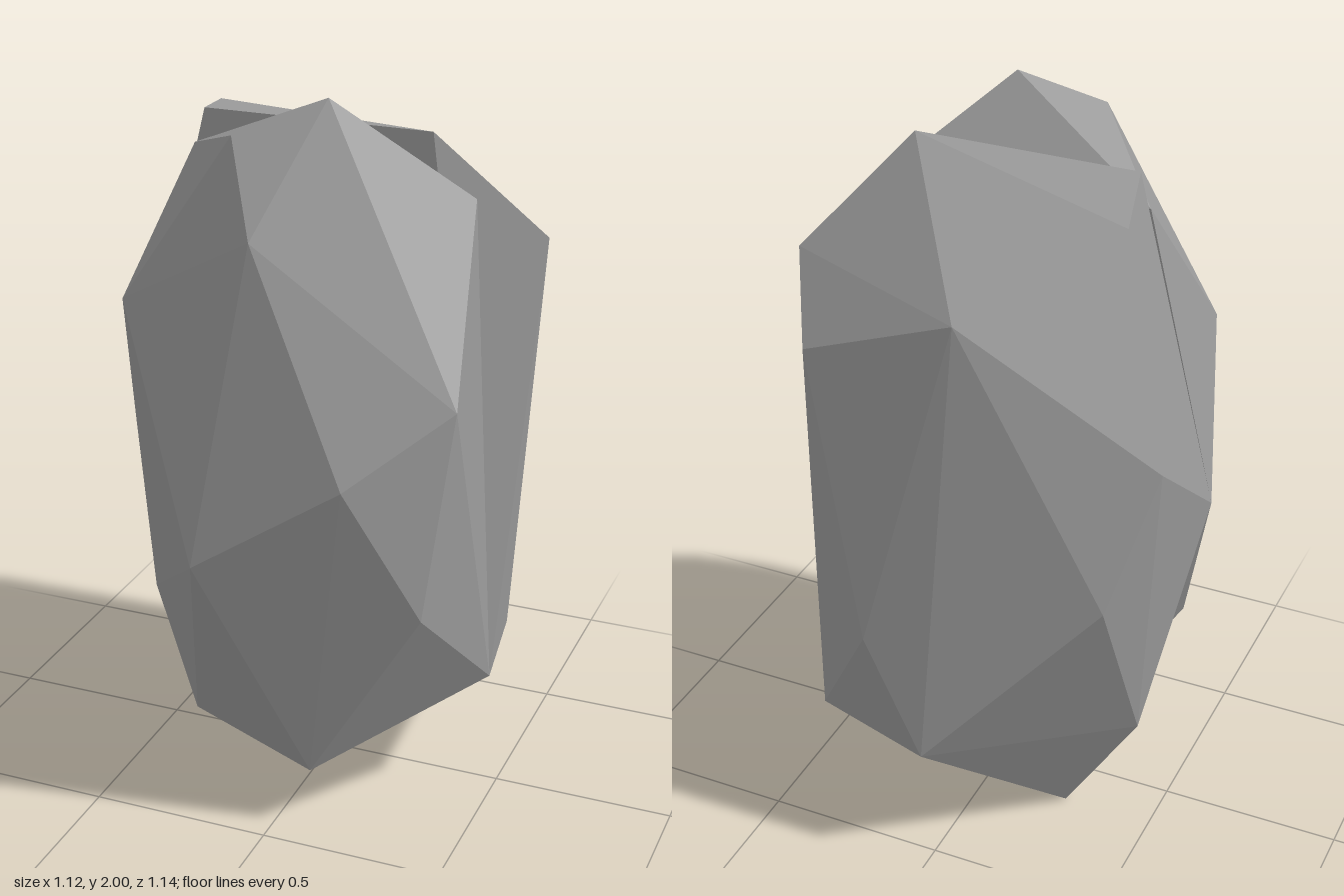
import * as THREE from 'three';
import { ConvexGeometry } from 'three/addons/geometries/ConvexGeometry.js';

// Corners shared by both halves along the split plane
const SPLIT_Z = 0.074;
const seam = [
  [0.492, 0.373, SPLIT_Z], [-0.203, 0.132, SPLIT_Z], [-0.558, 0.965, SPLIT_Z],
];

// Front chunk: ridge at the top, bulging face, chipped underside
const frontCorners = [
  [-0.355, 1.785, SPLIT_Z], [0.418, 1.72, SPLIT_Z],
  [0.107, 2.0, 0.29], [-0.108, 1.91, 0.387], [-0.02, 1.68, 0.493],
  [-0.472, 1.41, 0.29], [0.473, 1.26, 0.357], [0.237, 1.08, 0.537],
  [-0.163, 0.815, 0.57], [0.418, 0.71, 0.44],
  [-0.46, 0.52, 0.18], [-0.28, 0.235, 0.31], [0.105, 0.185, 0.422],
];

// Rear chunk: broad sloping top, lowest point of the rock
const rearCorners = [
  [-0.325, 1.88, SPLIT_Z], [0.3, 1.88, SPLIT_Z],
  [-0.387, 1.84, -0.163], [-0.085, 1.68, -0.515], [0.557, 1.58, -0.108],
  [0.405, 1.44, -0.378], [-0.55, 1.265, -0.302], [-0.45, 0.89, -0.42],
  [0.16, 0.73, -0.57], [0, 0.39, -0.57], [0.405, 0.3, -0.367],
  [-0.46, 0.345, -0.16], [-0.247, 0, -0.15],
];

function chunk(name, corners, material) {
  const points = [...seam, ...corners].map((c) => new THREE.Vector3(...c));
  const mesh = new THREE.Mesh(new ConvexGeometry(points), material);
  mesh.name = name;
  return mesh;
}

export function createModel() {
  const stone = new THREE.MeshStandardMaterial({ color: 0x9a9a9a, flatShading: true });
  const rock = new THREE.Group();
  rock.name = 'splitRock';
  rock.add(chunk('frontChunk', frontCorners, stone), chunk('rearChunk', rearCorners, stone));
  return rock;
}
